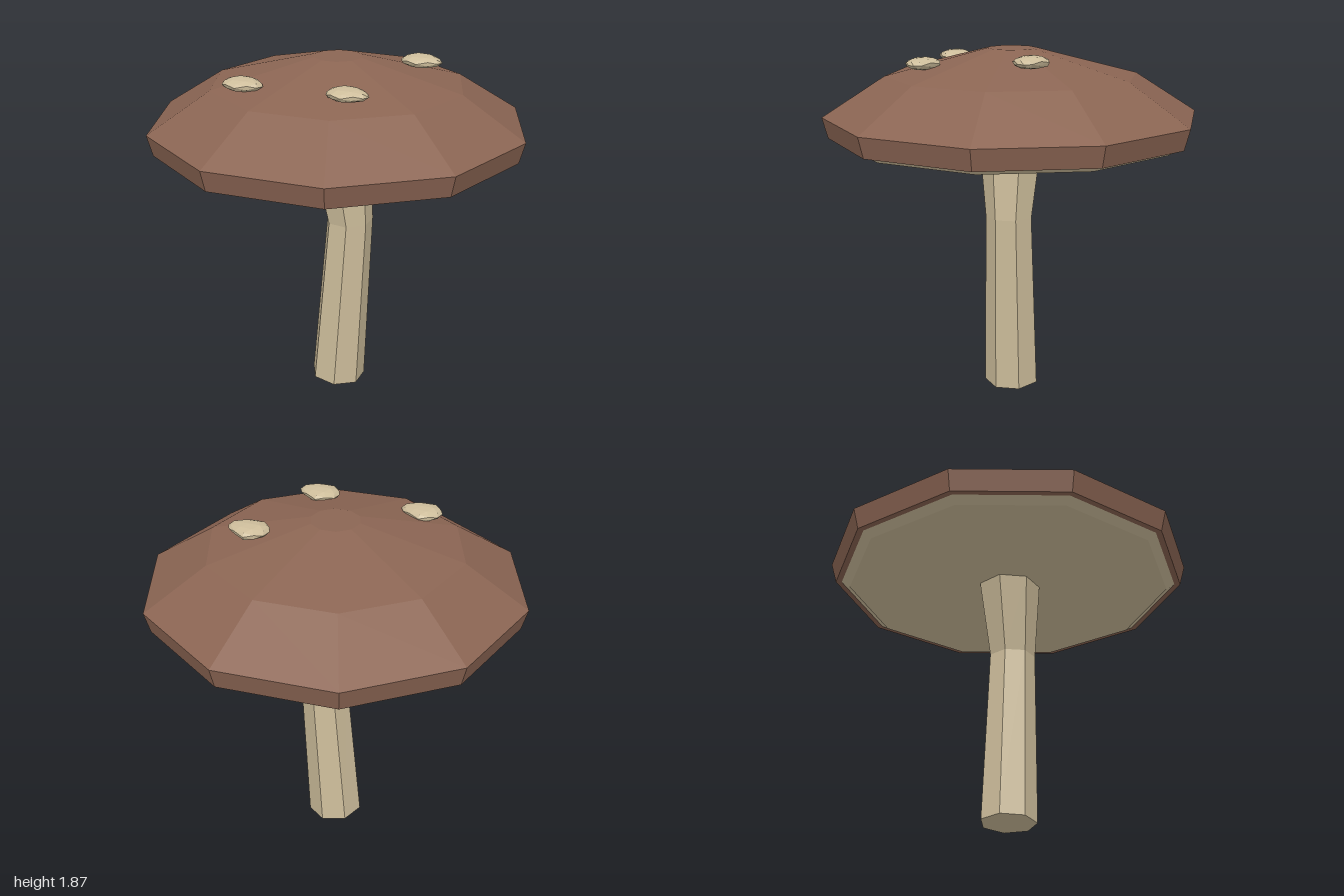
import * as THREE from 'three';

const flat = (name, color) => new THREE.MeshStandardMaterial({ name, color, flatShading: true });

export function createModel() {
  const brown = flat('cap brown', 0x8b6553);
  const cream = flat('stem cream', 0xcdbd9b);
  const group = new THREE.Group();
  const add = (name, geometry, material) => {
    const mesh = new THREE.Mesh(geometry, material);
    mesh.name = name;
    group.add(mesh);
    return mesh;
  };

  // Ten-sided turned parts, with a corner on the x axis
  const turned = (profile) => new THREE.LatheGeometry(
    profile.map(([r, y]) => new THREE.Vector2(r, y)), 10).rotateY(Math.PI / 2);

  add('cap', turned([[0.9, 1.41], [0.97, 1.41], [1, 1.52], [0.67, 1.73], [0.13, 1.87], [0, 1.87]]), brown);
  add('gills', turned([[0, 1.38], [0.89, 1.38], [0.945, 1.415]]), cream);

  // Seven-sided stem, bent by giving each ring its own centre, radius and tilt
  const rings = [
    { x: 0, y: 0.014, r: 0.15, tilt: -0.07 },
    { x: 0.067, y: 0.975, r: 0.127, tilt: 0.02 },
    { x: 0.007, y: 1.4, r: 0.174, tilt: 0 },
  ];
  const stem = new THREE.CylinderGeometry(1, 1, 2, 7, 2).rotateY(-Math.PI / 2);
  const p = stem.attributes.position;
  for (let i = 0; i < p.count; i++) {
    const ring = rings[Math.round(p.getY(i)) + 1];
    const dx = p.getX(i) * ring.r;
    p.setXYZ(i, ring.x + dx, ring.y + dx * ring.tilt, p.getZ(i) * ring.r);
  }
  stem.computeVertexNormals();
  add('stem', stem, cream);

  // Flattened lumps, drawn to a point on the +x side
  const lump = new THREE.IcosahedronGeometry(1, 1);
  const q = lump.attributes.position;
  for (let i = 0; i < q.count; i++) {
    const x = q.getX(i), y = q.getY(i), z = q.getZ(i);
    const point = Math.max(x, 0);
    const bump = 1 + 0.06 * Math.sin(5 * x + 3 * z + 4 * y);
    q.setXYZ(i, x * 0.107 * (1 + 0.1 * point), y * 0.033 * bump,
      z * 0.093 * bump * (1 - 0.3 * point) + 0.015 * point);
  }
  lump.computeVertexNormals();
  [[0.395, 1.842, -0.17], [-0.355, 1.786, 0.39], [0.215, 1.802, 0.425]].forEach((at, i) => {
    add('spot' + (i + 1), lump, cream).position.set(...at);
  });

  return group;
}
